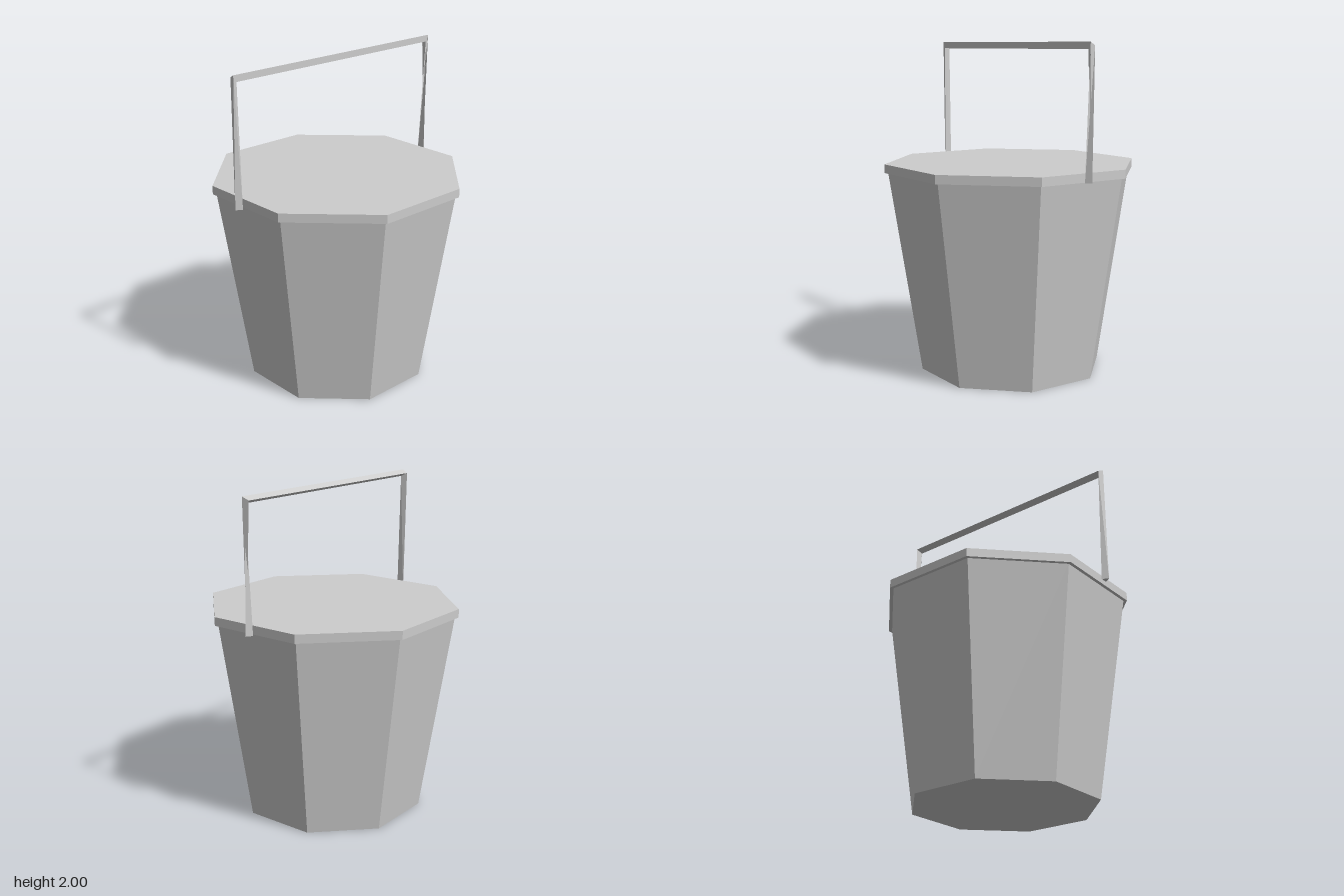
import * as THREE from 'three';

export function createModel() {
  const group = new THREE.Group();
  const grey = new THREE.MeshStandardMaterial({ color: 0xcccccc, flatShading: true });
  grey.name = 'plain grey';

  const add = (name, geometry) => {
    const mesh = new THREE.Mesh(geometry, grey);
    mesh.name = name;
    group.add(mesh);
  };

  // Eight-sided drum, sized by the distance from its axis to its flat sides
  const octagon = (top, bottom, y0, y1) => {
    const k = 1 / Math.cos(Math.PI / 8);
    return new THREE.CylinderGeometry(top * k, bottom * k, y1 - y0, 8, 1, false, Math.PI / 8)
      .translate(0, (y0 + y1) / 2, 0);
  };
  add('bucketBody', octagon(0.695, 0.52, 0, 1.23));
  add('lid', octagon(0.715, 0.715, 1.228, 1.28));

  // Three-sided handle: foot, corner, corner, foot
  const foot = [[0.742, 1.23, 0.0225], [0.778, 1.23, 0], [0.742, 1.23, -0.0225]];
  const corner = [[0.766, 2, 0.013], [0.756, 1.98, -0.026], [0.746, 1.96, 0.013]];
  const mirror = (loop) => loop.map(([x, y, z]) => [-x, y, z]);
  const loops = [foot, corner, mirror(corner), mirror(foot)];
  const index = [0, 2, 1, 9, 10, 11];
  for (let i = 0; i < 3; i++) {
    for (let j = 0; j < 3; j++) {
      const a = i * 3 + j, b = i * 3 + (j + 1) % 3;
      index.push(a, b, b + 3, a, b + 3, a + 3);
    }
  }
  const geometry = new THREE.BufferGeometry();
  geometry.setAttribute('position', new THREE.Float32BufferAttribute(loops.flat(2), 3));
  geometry.setIndex(index);
  const flat = geometry.toNonIndexed();
  flat.computeVertexNormals();
  add('handle', flat);

  return group;
}
